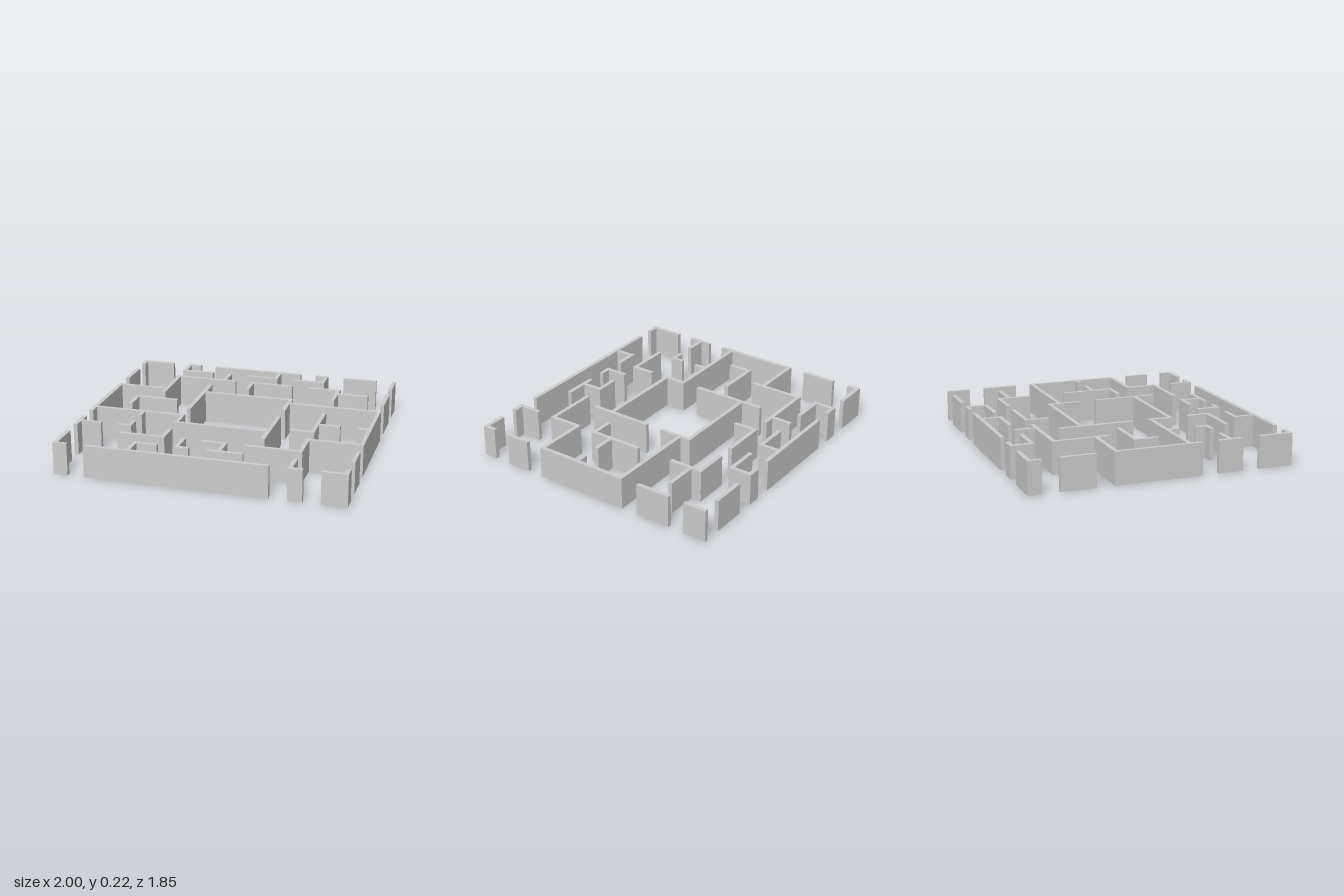
import * as THREE from 'three';

const HEIGHT = 0.225;
const THICK = 0.029;

// Wall runs parallel to x: [z, [x start, x end], ...]
const outerRows = [
  [-0.909, [-1, -0.755], [-0.635, -0.53], [-0.415, 0.27], [0.385, 0.482], [0.605, 0.855]],
  [0.909, [-1, -0.9], [-0.785, 0.482], [0.605, 0.705], [0.825, 1]],
];
const innerRows = [
  [-0.77, [-0.635, -0.39], [-0.125, 0.12], [0.24, 0.482]],
  [-0.625, [-0.635, -0.17], [-0.055, 0.27], [0.385, 0.635]],
  [-0.552, [0.605, 0.855]],
  [-0.33, [-1, -0.605], [-0.342, 0.338]],
  [-0.257, [0.312, 1]],
  [-0.11, [-0.785, -0.465]],
  [0.107, [0.605, 0.782], [0.9, 1]],
  [0.18, [-1, -0.318]],
  [0.252, [0.46, 0.635]],
  [0.328, [-0.342, 0.338]],
  [0.4, [0.605, 1]],
  [0.47, [-1, -0.828], [-0.71, -0.607]],
  [0.617, [-0.635, -0.318], [-0.055, 0.12], [0.24, 0.635]],
  [0.763, [-0.492, -0.318], [-0.2, -0.1], [0.02, 0.27]],
];

// Wall runs parallel to z: [x, [z start, z end], ...]
const outerColumns = [
  [-0.9855, [-0.923, -0.83], [-0.71, -0.465], [-0.345, 0.27], [0.385, 0.56], [0.68, 0.923]],
  [0.9855, [-0.923, -0.755], [-0.64, -0.39], [-0.27, 0.415], [0.53, 0.705], [0.825, 0.923]],
];
const innerColumns = [
  [-0.77, [-0.125, 0.05]],
  [-0.62, [-0.923, -0.755], [-0.64, -0.245], [0.166, 0.27], [0.385, 0.484]],
  [-0.475, [0.75, 0.923]],
  [-0.33, [-0.49, 0.05], [0.166, 0.342], [0.46, 0.632]],
  [-0.26, [-0.78, -0.61]],
  [-0.185, [0.605, 0.777]],
  [-0.04, [-0.64, -0.465]],
  [0.105, [-0.923, -0.755], [0.605, 0.777]],
  [0.327, [-0.345, -0.1], [0.02, 0.482]],
  [0.468, [-0.923, -0.755]],
  [0.62, [-0.64, -0.39], [-0.125, 0.27], [0.385, 0.632], [0.75, 0.923]],
];

export function createModel() {
  const model = new THREE.Group();
  model.name = 'maze';
  const material = new THREE.MeshStandardMaterial({ color: 0xcccccc, flatShading: true });

  function addWalls(name, lines, alongX) {
    const group = new THREE.Group();
    group.name = name;
    for (const [offset, ...runs] of lines) {
      for (const [start, end] of runs) {
        const length = end - start;
        const middle = (start + end) / 2;
        const wall = new THREE.Mesh(
          new THREE.BoxGeometry(alongX ? length : THICK, HEIGHT, alongX ? THICK : length),
          material
        );
        wall.name = 'wall';
        wall.position.set(alongX ? middle : offset, HEIGHT / 2, alongX ? offset : middle);
        group.add(wall);
      }
    }
    model.add(group);
  }

  addWalls('frontAndBackWalls', outerRows, true);
  addWalls('sideWalls', outerColumns, false);
  addWalls('innerCrossWalls', innerRows, true);
  addWalls('innerLengthWalls', innerColumns, false);
  return model;
}
